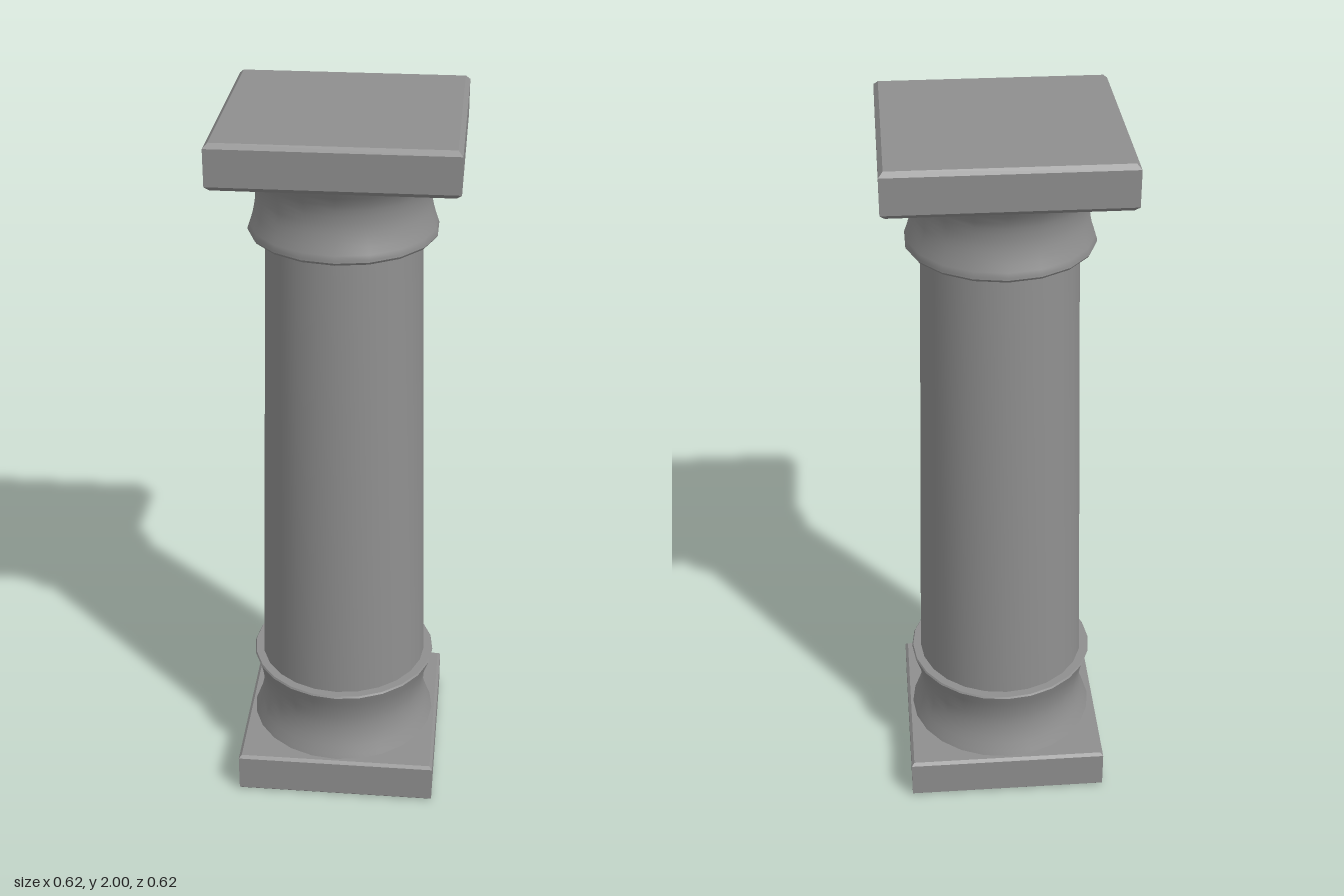
import * as THREE from 'three';
import { toCreasedNormals } from 'three/addons/utils/BufferGeometryUtils.js';

const material = new THREE.MeshStandardMaterial({ color: 0x8f8f8f });

function addPart(group, name, geometry) {
  const mesh = new THREE.Mesh(geometry, material);
  mesh.name = name;
  group.add(mesh);
}

// Turned part: profile of [radius, height] pairs from bottom to top
function turned(profile, sides, phiStart = 0, crease = 0.6) {
  const points = profile.map(([r, y]) => new THREE.Vector2(r, y));
  return toCreasedNormals(new THREE.LatheGeometry(points, sides, phiStart), crease);
}

// Square slab with chamfered top and bottom edges, as a four-sided lathe
function slab(half, y0, y1, bevel) {
  const k = Math.SQRT2;
  return turned([
    [0, y0], [(half - bevel) * k, y0], [half * k, y0 + bevel],
    [half * k, y1 - bevel], [(half - bevel) * k, y1], [0, y1],
  ], 4, Math.PI / 4, 0.1);
}

// Smooth concave moulding through the given points
function cove(points, steps) {
  const curve = new THREE.SplineCurve(points.map(([r, y]) => new THREE.Vector2(r, y)));
  return curve.getPoints(steps).map((p) => [p.x, p.y]);
}

export function createModel() {
  const group = new THREE.Group();
  group.name = 'column';

  // Square ends
  addPart(group, 'plinth', slab(0.284, 0, 0.123, 0.008));
  addPart(group, 'abacus', slab(0.309, 1.881, 2, 0.012));

  // Base moulding with a narrow ledge around the shaft
  addPart(group, 'baseMoulding', turned([
    ...cove([[0.27, 0.12], [0.248, 0.18], [0.241, 0.235], [0.249, 0.29], [0.266, 0.342]], 12),
    [0.263, 0.347], [0.2, 0.347],
  ], 24));

  // Tapered shaft
  addPart(group, 'shaft', turned([[0.24, 0.34], [0.207, 1.69]], 24));

  // Flared capital with a ledge underneath
  addPart(group, 'capital', turned([
    [0.18, 1.675], [0.245, 1.675], [0.25, 1.682],
    ...cove([[0.25, 1.688], [0.235, 1.735], [0.229, 1.78], [0.238, 1.83], [0.272, 1.885]], 12),
  ], 18));

  return group;
}
